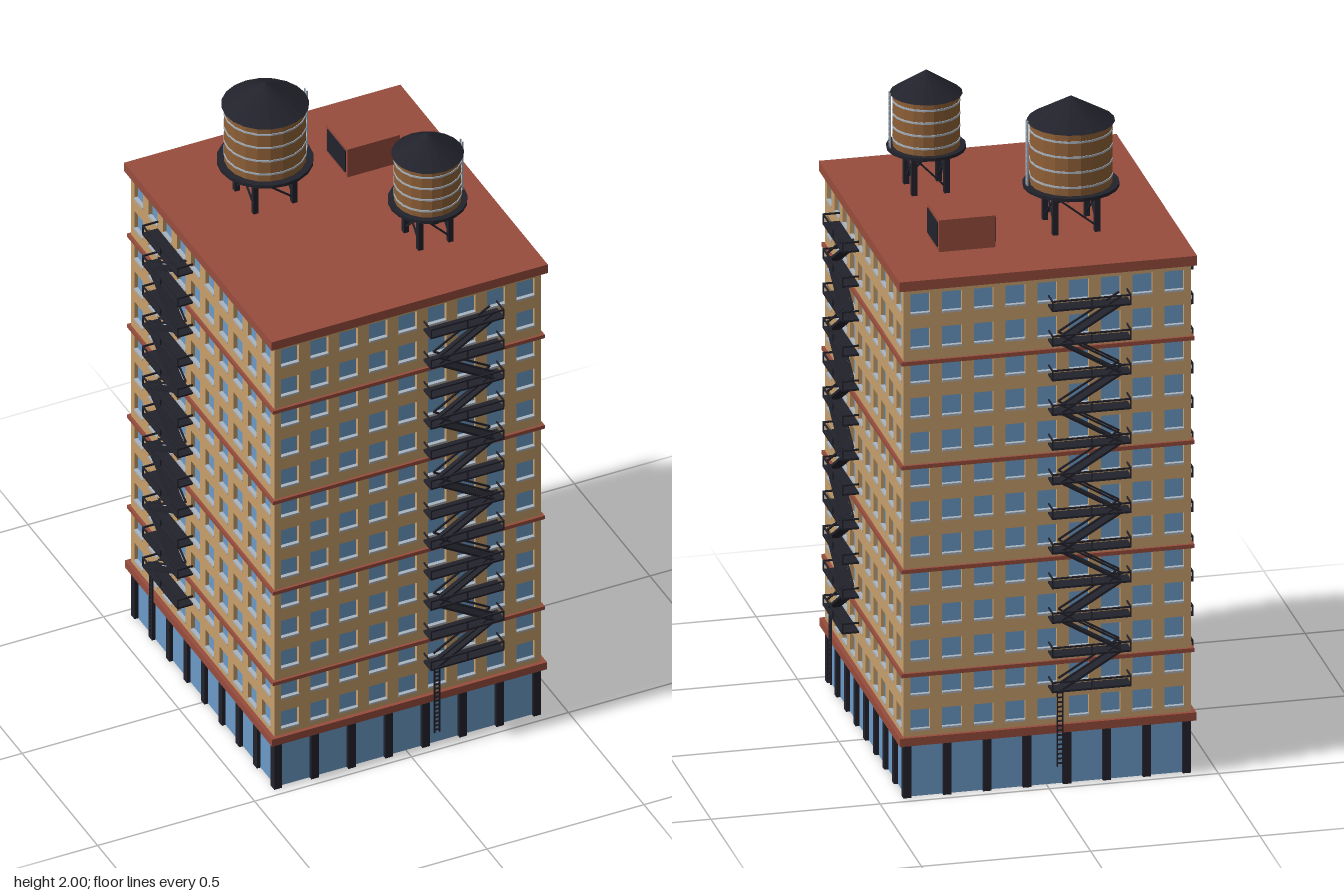
import * as THREE from 'three';
import { mergeGeometries } from 'three/addons/utils/BufferGeometryUtils.js';

const mat = (name, color, extra = {}) => {
  const m = new THREE.MeshStandardMaterial({ color, ...extra });
  m.name = name;
  return m;
};

const HALF_X = 0.425, HALF_Z = 0.475, FLOOR = 0.107, PITCH = 0.0938;

const box = (w, h, d, x, y, z) => new THREE.BoxGeometry(w, h, d).translate(x, y, z);

// square bar between two points
function bar(a, b, t, depth = t) {
  const p = new THREE.Vector3(...a), q = new THREE.Vector3(...b);
  const dir = q.clone().sub(p);
  const g = new THREE.BoxGeometry(t, dir.length(), depth);
  g.applyQuaternion(new THREE.Quaternion().setFromUnitVectors(new THREE.Vector3(0, 1, 0), dir.normalize()));
  const c = p.add(q).multiplyScalar(0.5);
  return g.translate(c.x, c.y, c.z);
}

export function createModel() {
  const brick = mat('tan brick', 0xc89f6c);
  const red = mat('red brick trim', 0x984d3d);
  const glass = mat('blue glass', 0x6b9bc9);
  const iron = mat('dark iron', 0x22222c);
  const wood = mat('tank wood', 0x8f6037);
  const steel = mat('pale steel', 0xa9b4bf);

  const model = new THREE.Group();
  const add = (parent, name, geos, material) => {
    const list = Array.isArray(geos) ? geos : [geos];
    const mesh = new THREE.Mesh(list.length > 1 ? mergeGeometries(list) : list[0], material);
    mesh.name = name;
    parent.add(mesh);
    return mesh;
  };

  // glass core seen through the window openings and the shop front
  add(model, 'glassCore', box(0.826, 1.57, 0.926, 0, 0.785, 0), glass);

  // roof, ledge and string courses
  add(model, 'roofSlab', box(0.88, 0.03, 0.976, 0, 1.585, 0), red);
  add(model, 'shopLedge', box(0.876, 0.025, 0.974, 0, 0.177, 0), red);
  const courses = [];
  for (let i = 0; i < 4; i++) courses.push(box(0.866, 0.012, 0.966, 0, 0.381 + i * 3 * FLOOR, 0));
  add(model, 'stringCourses', courses, red);

  // one facade in local space: u along x, outward along +z, outer face at z = 0
  function facade(half, columns, pillars) {
    const g = new THREE.Group();
    const shape = new THREE.Shape([[-half, 0.18], [half, 0.18], [half, 1.575], [-half, 1.575]].map(p => new THREE.Vector2(...p)));
    const sills = [];
    for (let r = 0; r < 13; r++) {
      for (let c = 0; c < columns; c++) {
        const x = (c - (columns - 1) / 2) * PITCH, y = 0.207 + r * FLOOR, w = 0.029, h = 0.064;
        shape.holes.push(new THREE.Path([[x - w, y], [x - w, y + h], [x + w, y + h], [x + w, y]].map(p => new THREE.Vector2(...p))));
        sills.push(box(0.058, 0.006, 0.012, x, y + 0.002, -0.004));
      }
    }
    const wall = new THREE.ExtrudeGeometry(shape, { depth: 0.012, bevelEnabled: false }).translate(0, 0, -0.012);
    add(g, 'brickWall', wall, brick);
    add(g, 'windowSills', sills, steel);
    const posts = [];
    for (let i = 0; i < pillars; i++) {
      posts.push(box(0.024, 0.165, 0.024, -half + 0.012 + i * (2 * half - 0.024) / (pillars - 1), 0.0825, -0.012));
    }
    add(g, 'shopPillars', posts, iron);
    return g;
  }

  // zigzag fire escape centred on u, standing off the wall
  function fireEscape(u) {
    const g = new THREE.Group();
    const W = 0.235, D = 0.05, y0 = 0.307, left = u - W / 2, right = u + W / 2;
    const landings = [], rails = [], stairs = [];
    for (let k = 0; k < 12; k++) {
      const y = y0 + k * FLOOR;
      landings.push(box(W, 0.006, D, u, y, D / 2));
      rails.push(box(W, 0.005, 0.004, u, y + 0.028, D - 0.002));
      for (const x of [left, u, right]) {
        const px = THREE.MathUtils.clamp(x, left + 0.002, right - 0.002);
        rails.push(box(0.004, 0.03, 0.004, px, y + 0.014, D - 0.002));
        if (x !== u) rails.push(box(0.004, 0.005, D, px, y + 0.028, D / 2));
      }
      if (k === 11) continue;
      // flights alternate direction
      const s = k % 2 ? -1 : 1;
      const a = u - s * 0.09, b = u + s * 0.09;
      stairs.push(bar([a, y, 0.026], [b, y + FLOOR, 0.026], 0.007, 0.036));
      for (const z of [0.01, 0.042]) {
        stairs.push(bar([a, y + 0.026, z], [b, y + FLOOR + 0.026, z], 0.005));
      }
    }
    add(g, 'landings', landings, iron);
    add(g, 'landingRails', rails, iron);
    add(g, 'stairFlights', stairs, iron);
    // drop ladder to the street
    const ladder = [];
    for (const x of [-0.008, 0.008]) ladder.push(box(0.004, 0.24, 0.005, left + 0.027 + x, 0.19, 0.034));
    for (let i = 0; i < 16; i++) ladder.push(box(0.016, 0.004, 0.005, left + 0.027, 0.08 + i * 0.0145, 0.034));
    add(g, 'dropLadder', ladder, iron);
    return g;
  }

  // front, right-hand, back and left-hand sides
  const sides = [
    ['front', 0, HALF_X, HALF_Z, 9, 8, 0.167],
    ['plusX', Math.PI / 2, HALF_Z, HALF_X, 10, 9, -0.18],
    ['back', Math.PI, HALF_X, HALF_Z, 9, 8, 0.12],
    ['minusX', -Math.PI / 2, HALF_Z, HALF_X, 10, 9, -0.18],
  ];
  for (const [name, angle, half, dist, columns, pillars, u] of sides) {
    const side = new THREE.Group();
    side.name = name + 'Side';
    side.rotation.y = angle;
    const f = facade(half, columns, pillars), e = fireEscape(u);
    f.name = name + 'Facade';
    e.name = name + 'FireEscape';
    f.position.z = e.position.z = dist;
    side.add(f, e);
    model.add(side);
  }

  // water tank on a braced stand
  function waterTank(name, x, z, r, height, coneH, baseR, leg) {
    const g = new THREE.Group();
    g.name = name;
    g.position.set(x, 1.6, z);
    const flat = geo => { const n = geo.toNonIndexed(); n.computeVertexNormals(); return n; };
    const cyl = (rt, rb, h, y) => flat(new THREE.CylinderGeometry(rt, rb, h, 20)).translate(0, y + h / 2, 0);
    const legs = [], braces = [];
    for (let i = 0; i < 4; i++) {
      const a = Math.PI / 4 + i * Math.PI / 2, b = a + Math.PI / 2, R = leg * Math.SQRT2;
      const p = [Math.cos(a) * R, Math.sin(a) * R], q = [Math.cos(b) * R, Math.sin(b) * R];
      legs.push(box(0.016, 0.126, 0.016, p[0], 0.063, p[1]));
      braces.push(bar([p[0], 0.015, p[1]], [q[0], 0.115, q[1]], 0.005));
      if (i % 2) braces.push(bar([p[0], 0.115, p[1]], [q[0], 0.015, q[1]], 0.005));
    }
    add(g, 'standLegs', legs, iron);
    add(g, 'standBraces', braces, iron);
    add(g, 'standDeck', cyl(baseR, baseR, 0.01, 0.125), iron);
    add(g, 'tankBarrel', cyl(r, r, height, 0.135), wood);
    const hoops = [];
    for (let i = 0; i < 4; i++) hoops.push(cyl(r + 0.002, r + 0.002, 0.006, 0.135 + height * (0.12 + i * 0.245)));
    add(g, 'tankHoops', hoops, steel);
    add(g, 'tankRoof', flat(new THREE.ConeGeometry(r + 0.008, coneH, 20)).translate(0, 0.135 + height + coneH / 2, 0), iron);
    // ladder on the +x side
    const ladder = [], lx = r + 0.011;
    for (const s of [-1, 1]) ladder.push(box(0.004, height + 0.01, 0.003, lx, 0.14 + height / 2, s * 0.007));
    for (let i = 0; i < 10; i++) ladder.push(box(0.003, 0.003, 0.014, lx, 0.15 + i * height / 10, 0));
    add(g, 'tankLadder', ladder, steel);
    model.add(g);
  }
  waterTank('largeWaterTank', -0.145, -0.168, 0.119, 0.19, 0.075, 0.14, 0.062);
  waterTank('smallWaterTank', 0.19, 0.212, 0.097, 0.16, 0.07, 0.115, 0.048);

  // rooftop housing with dark grilles at both ends
  add(model, 'roofHousing', box(0.168, 0.1, 0.14, 0.19, 1.648, -0.215), red);
  add(model, 'housingGrilles', [-1, 1].map(s => box(0.005, 0.075, 0.12, 0.19 + s * 0.0845, 1.65, -0.215)), iron);

  return model;
}
